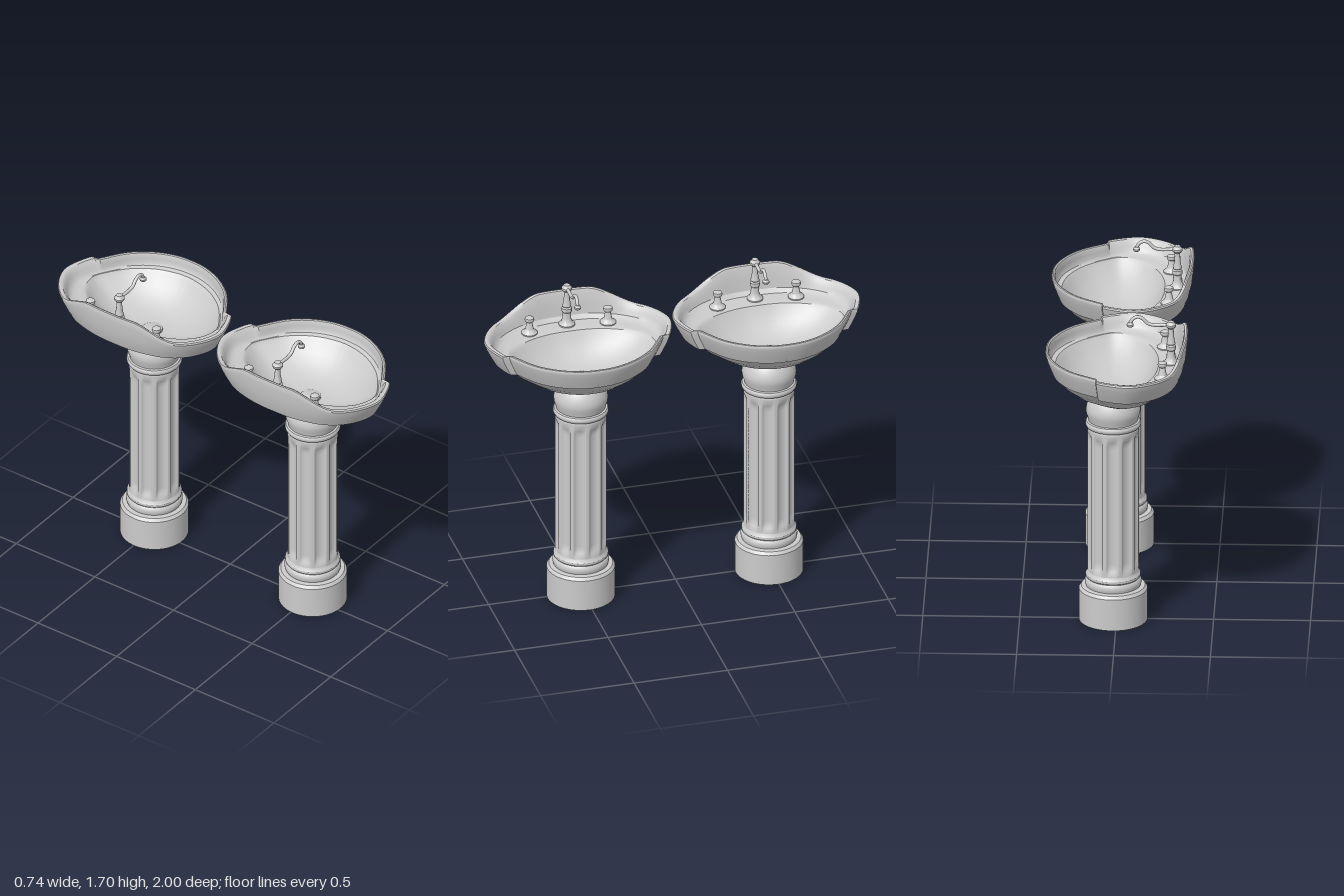
import * as THREE from 'three';
import { toCreasedNormals } from 'three/addons/utils/BufferGeometryUtils.js';

const material = new THREE.MeshStandardMaterial({ color: 0xcccccc });
const openMaterial = new THREE.MeshStandardMaterial({ color: 0xcccccc, side: THREE.DoubleSide });
const N = 160; // samples around the basin

function part(name, geometry, x = 0, y = 0, z = 0, mat = material) {
  const mesh = new THREE.Mesh(geometry, mat);
  mesh.name = name;
  mesh.position.set(x, y, z);
  return mesh;
}

function lathe(points, segments = 48) {
  const g = new THREE.LatheGeometry(points.map(([r, y]) => new THREE.Vector2(r, y)), segments);
  return toCreasedNormals(g, 0.6);
}

// Closed outline from half of its points [x, z], mirrored in z
function outline(half) {
  const mirrored = half.slice(1, -1).reverse().map(([x, z]) => [x, -z]);
  const curve = new THREE.CatmullRomCurve3(
    [...half, ...mirrored].map(([x, z]) => new THREE.Vector3(x, 0, z)), true);
  return Array.from({ length: N }, (_, i) => curve.getPoint(i / N));
}

function basinGeometry() {
  const body = outline([[-0.345, 0], [-0.335, 0.15], [-0.285, 0.31], [-0.2, 0.41], [-0.077, 0.465],
    [0.04, 0.44], [0.13, 0.39], [0.24, 0.31], [0.32, 0.2], [0.36, 0.09], [0.368, 0]]);
  const lip = outline([[-0.215, 0], [-0.21, 0.1], [-0.185, 0.2], [-0.14, 0.29], [-0.07, 0.36],
    [0.03, 0.39], [0.11, 0.35], [0.2, 0.275], [0.27, 0.17], [0.3, 0.08], [0.31, 0]]);
  const rings = [];

  // Rings that follow the body: scale, height, band thickness 0..1, splashback lift 0..1
  const bodyRing = ([s, y, band, lift]) => rings.push(body.map((p) => {
    const k = s * (p.x < 0.095 ? 1 + 0.068 * band : 1);
    const rise = p.x < 0 ? 0.09 * (1 - THREE.MathUtils.smoothstep(Math.abs(p.z), 0.12, 0.36)) : 0;
    return [p.x * k, y + rise * lift, p.z * k];
  }));
  // Underside, raised band, rounded rim, inner wall
  [[0.15, 1.24, 0, 0], [0.25, 1.242, 0, 0], [0.36, 1.25, 0, 0], [0.5, 1.268, 0, 0], [0.63, 1.295, 0, 0],
    [0.77, 1.337, 0, 0], [0.87, 1.383, 0, 0], [0.895, 1.384, 1, 0], [0.935, 1.42, 1, 0.05],
    [0.975, 1.46, 1, 0.3], [0.995, 1.485, 1, 0.75], [1, 1.495, 1, 0.93], [0.992, 1.503, 1, 0.99],
    [0.975, 1.505, 1, 1], [0.955, 1.502, 0.9, 0.98], [0.945, 1.492, 0.75, 0.9], [0.94, 1.47, 0.4, 0.45],
    [0.935, 1.447, 0.1, 0.1]].forEach(bodyRing);

  // Tap deck, running in to the lip of the bowl
  [[0.15, 1.435], [0.5, 1.43], [0.85, 1.43]].forEach(([t, y]) => rings.push(body.map((p, i) => [
    THREE.MathUtils.lerp(p.x * 0.93, lip[i].x, t), y, THREE.MathUtils.lerp(p.z * 0.93, lip[i].z, t)])));

  // Bowl, shrinking to the drain
  [[1, 1.425], [0.96, 1.41], [0.9, 1.388], [0.82, 1.363], [0.72, 1.338], [0.6, 1.314], [0.45, 1.293],
    [0.3, 1.281], [0.12, 1.275], [0, 1.274]].forEach(([s, y]) => rings.push(lip.map((p) => [
    0.01 + (p.x - 0.01) * s, y, p.z * s])));

  const index = [];
  for (let i = 0; i < rings.length - 1; i++) {
    for (let j = 0; j < N; j++) {
      const a = i * N + j, b = i * N + (j + 1) % N;
      index.push(a, b, a + N, b, b + N, a + N);
    }
  }
  const g = new THREE.BufferGeometry();
  g.setAttribute('position', new THREE.Float32BufferAttribute(rings.flat(2), 3));
  g.setIndex(index);
  return toCreasedNormals(g, 0.6);
}

// Column shaft with ten scooped flutes that fade out at both ends
function shaftGeometry() {
  const height = 0.8, flutes = 10;
  const g = new THREE.CylinderGeometry(0.132, 0.132, height, 160, 40, true);
  const pos = g.attributes.position;
  for (let i = 0; i < pos.count; i++) {
    const x = pos.getX(i), y = pos.getY(i), z = pos.getZ(i);
    const turn = Math.atan2(z, x) / (2 * Math.PI) * flutes + 10;
    const u = (turn - Math.floor(turn) - 0.5) / 0.36;
    const end = THREE.MathUtils.smoothstep(height / 2 - Math.abs(y), 0.015, 0.06);
    const k = 1 - 0.13 * end * Math.sqrt(Math.max(0, 1 - u * u));
    pos.setXYZ(i, x * k, y, z * k);
  }
  g.computeVertexNormals();
  return g;
}

function createPedestal() {
  const group = new THREE.Group();
  group.name = 'pedestal';
  group.add(
    part('base', lathe([[0.177, 0], [0.177, 0.172], [0.165, 0.188], [0.13, 0.19]], 64), 0, 0, 0, openMaterial),
    part('lowerMoulding', lathe([[0.13, 0.188], [0.142, 0.192], [0.146, 0.205], [0.146, 0.22], [0.14, 0.232],
      [0.136, 0.236], [0.142, 0.243], [0.142, 0.256], [0.135, 0.266], [0.13, 0.28]], 64)),
    part('flutedShaft', shaftGeometry(), 0, 0.665, 0),
    part('upperMoulding', lathe([[0.13, 1.055], [0.132, 1.065], [0.128, 1.075], [0.138, 1.079], [0.144, 1.09],
      [0.144, 1.1], [0.138, 1.109], [0.128, 1.112], [0.132, 1.13], [0.139, 1.15], [0.141, 1.17],
      [0.138, 1.19], [0.129, 1.215], [0.117, 1.235], [0.1, 1.252]], 64)));
  return group;
}

function createFaucet() {
  const group = new THREE.Group();
  group.name = 'faucet';
  const path = new THREE.CatmullRomCurve3([[-0.28, 1.645], [-0.23, 1.643], [-0.19, 1.643], [-0.16, 1.652],
    [-0.135, 1.677], [-0.11, 1.687], [-0.085, 1.677], [-0.072, 1.655], [-0.07, 1.64]]
    .map(([x, y]) => new THREE.Vector3(x, y, 0)));
  group.add(
    part('faucetPost', lathe([[0.042, 1.425], [0.042, 1.437], [0.03, 1.447], [0.022, 1.47], [0.021, 1.505],
      [0.026, 1.51], [0.026, 1.53], [0.019, 1.536], [0.023, 1.541], [0.021, 1.55], [0.016, 1.58],
      [0.014, 1.625], [0.021, 1.63], [0.027, 1.638], [0.027, 1.648], [0.02, 1.655], [0.016, 1.664],
      [0, 1.668]], 32), -0.28, 0, 0),
    part('spout', new THREE.TubeGeometry(path, 48, 0.009, 12)),
    part('nozzle', lathe([[0, 1.632], [0.014, 1.633], [0.018, 1.638], [0.018, 1.646], [0.011, 1.656], [0, 1.658]], 24),
      -0.07, 0, 0));
  return group;
}

function createSink() {
  const sink = new THREE.Group();
  const pedestal = createPedestal();
  pedestal.position.set(0.018, 0, 0.008);
  sink.add(pedestal, part('basin', basinGeometry()), createFaucet());

  // Drain cover
  sink.add(part('drain', lathe([[0.055, 1.274], [0.054, 1.282], [0.045, 1.286], [0, 1.286]], 32), 0.01, 0, 0));

  // Tap handles on either side of the faucet
  const handle = lathe([[0.042, 1.425], [0.042, 1.436], [0.032, 1.445], [0.022, 1.455], [0.017, 1.48],
    [0.014, 1.495], [0.022, 1.501], [0.025, 1.51], [0.023, 1.52], [0.014, 1.525], [0, 1.526]], 32);
  for (const side of [-1, 1]) sink.add(part('tapHandle', handle, -0.243, 0, side * 0.21));
  return sink;
}

export function createModel() {
  const model = new THREE.Group();
  model.name = 'pedestalSinks';
  for (const side of [-1, 1]) {
    const sink = createSink();
    sink.name = side > 0 ? 'frontSink' : 'backSink';
    sink.position.z = side * 0.5035;
    model.add(sink);
  }
  return model;
}
